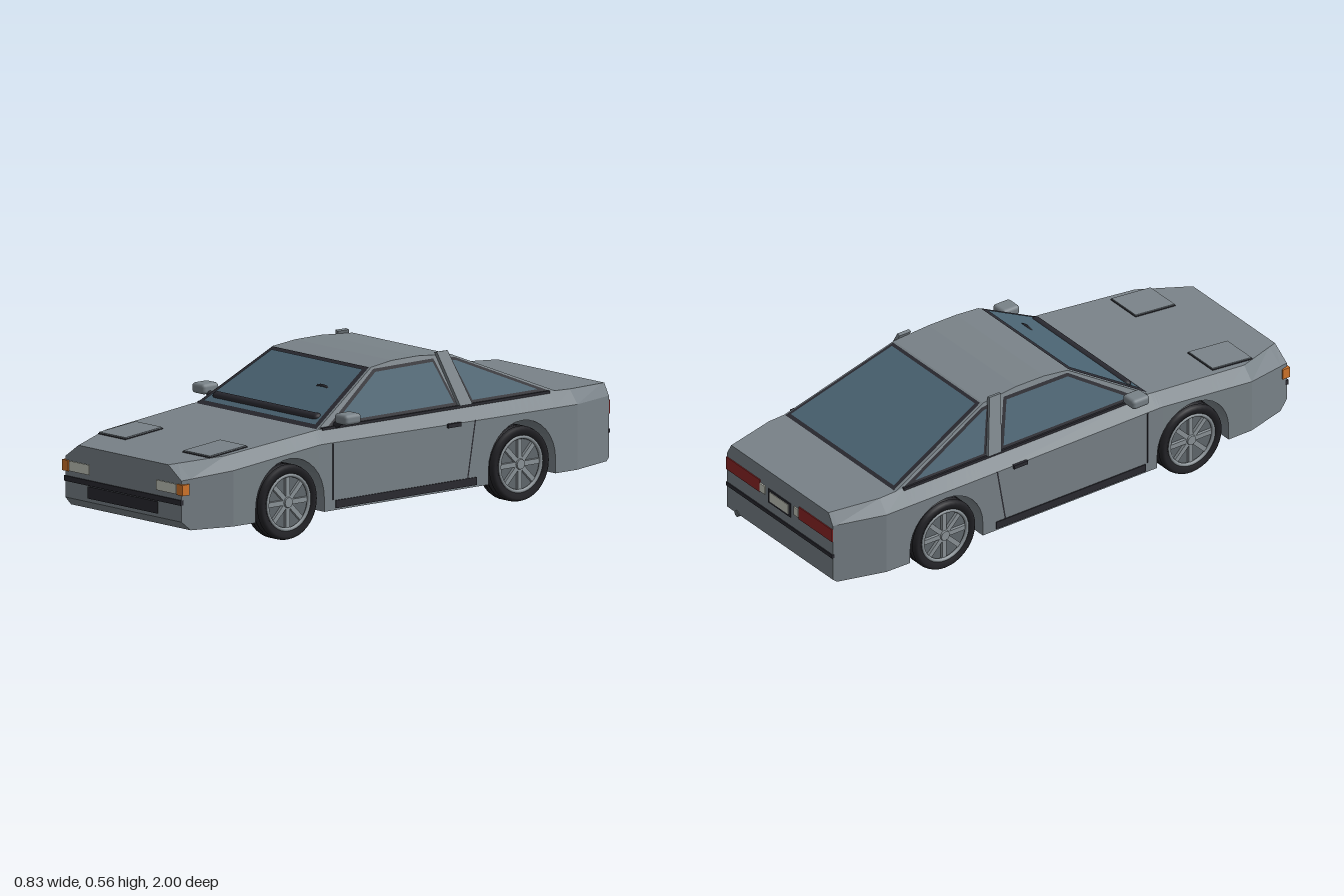
import * as THREE from 'three';
import { RoundedBoxGeometry } from 'three/addons/geometries/RoundedBoxGeometry.js';
import { ConvexGeometry } from 'three/addons/geometries/ConvexGeometry.js';

const V = (x, y, z) => new THREE.Vector3(x, y, z);
const material = (name, color) => {
  const m = new THREE.MeshStandardMaterial({ color });
  m.name = name;
  return m;
};

// Piecewise linear lookup of [z, value] pairs, sorted by z
function at(table, z) {
  let i = 1;
  while (i < table.length - 1 && z > table[i][0]) i++;
  const [z0, v0] = table[i - 1], [z1, v1] = table[i];
  return THREE.MathUtils.mapLinear(z, z0, z1, v0, v1);
}

// Body measures along z: half width, deck half width, shoulder height, deck height
const END = 0.995;
const WIDTH = [[-END, 0.31], [-0.8, 0.365], [-0.4, 0.37], [0.4, 0.37], [0.8, 0.365], [END, 0.31]];
const DECK = [[-END, 0.285], [-0.8, 0.325], [0.4, 0.33], [0.8, 0.32], [END, 0.24]];
const SHOULDER = [[-END, 0.315], [0.4, 0.325], [END, 0.262]];
const TOP = [[-END, 0.358], [-0.7, 0.37], [0.38, 0.37], [END, 0.31]];
const FLOOR = 0.083, AXLE = 0.54, WHEEL_Y = 0.135, ARCH = 0.158;

function facesToGeometry(tris) {
  const g = new THREE.BufferGeometry().setFromPoints(tris);
  g.computeVertexNormals();
  return g;
}

// Body lofted through z stations; the floor rises over the wheel arches
function bodyGeometry() {
  const stations = [[END, 0.115], [0.96, FLOOR], [0.8, FLOOR]];
  for (const c of [AXLE, -AXLE]) {
    stations.push([c + ARCH, FLOOR]);
    for (let i = 0; i <= 16; i++) {
      const a = (i / 16) * Math.PI;
      stations.push([c + ARCH * Math.cos(a), WHEEL_Y + ARCH * Math.sin(a)]);
    }
    stations.push([c - ARCH, FLOOR]);
    if (c > 0) stations.push([0.38, FLOOR]);
  }
  stations.push([-0.8, FLOOR], [-0.98, FLOOR], [-END, 0.095]);
  const rings = stations.map(([z, b]) => {
    const w = at(WIDTH, z), d = at(DECK, z), c = at(SHOULDER, z), t = at(TOP, z);
    return [V(w, b, z), V(w, c, z), V(d, t, z), V(-d, t, z), V(-w, c, z), V(-w, b, z)];
  });
  const tris = [];
  for (let i = 0; i < rings.length - 1; i++) {
    for (let j = 0; j < 6; j++) {
      const k = (j + 1) % 6, r = rings[i], s = rings[i + 1];
      tris.push(r[j], s[j], s[k], r[j], s[k], r[k]);
    }
  }
  const front = rings[0], back = rings[rings.length - 1];
  for (let j = 1; j < 5; j++) {
    tris.push(front[0], front[j], front[j + 1], back[0], back[j + 1], back[j]);
  }
  return facesToGeometry(tris);
}

// Moves every edge of a flat outline inwards by d
function inset(pts, d) {
  return pts.map((p, i) => {
    const u = pts[(i + 1) % pts.length].clone().sub(p).normalize();
    const v = pts[(i + pts.length - 1) % pts.length].clone().sub(p).normalize();
    const s = u.clone().cross(v).length();
    return p.clone().addScaledVector(u.add(v), d / s);
  });
}

// Flat face lifted along its own normal
function panelGeometry(pts, lift) {
  const n = pts[1].clone().sub(pts[0]).cross(pts[2].clone().sub(pts[0])).normalize();
  const q = pts.map(p => p.clone().addScaledVector(n, lift));
  const tris = [];
  for (let i = 1; i < q.length - 1; i++) tris.push(q[0], q[i], q[i + 1]);
  return facesToGeometry(tris);
}

const flip = pts => pts.map(p => V(-p.x, p.y, p.z)).reverse();

export function createModel() {
  const car = new THREE.Group();
  car.name = 'car';
  const paint = material('bodyPaint', 0x798288);
  const glass = material('windowGlass', 0x4b6473);
  const trim = material('blackTrim', 0x2a2a31);
  const rubber = material('tyreRubber', 0x222226);
  const alloy = material('wheelAlloy', 0x8b9398);
  const alloyDark = material('wheelRecess', 0x62696e);
  const red = material('tailLightRed', 0x8e2626);
  const orange = material('indicatorOrange', 0xd2752a);
  const lens = material('lampLens', 0xc6c9be);

  const add = (name, geo, mat, parent = car) => {
    const m = new THREE.Mesh(geo, mat);
    m.name = name;
    parent.add(m);
    return m;
  };
  // Box given by its minimum and maximum corners
  const box = (name, mat, x0, x1, y0, y1, z0, z1) => {
    const m = add(name, new THREE.BoxGeometry(Math.abs(x1 - x0), y1 - y0, z1 - z0), mat);
    m.position.set((x0 + x1) / 2, (y0 + y1) / 2, (z0 + z1) / 2);
    return m;
  };
  const framedWindow = (name, pts, frame) => {
    add(name + 'Frame', panelGeometry(pts, 0.003), trim);
    add(name, panelGeometry(inset(pts, frame), 0.006), glass);
  };

  add('body', bodyGeometry(), paint);

  // Cabin, its sides leaning inwards
  const cabinX = y => 0.327 - (y - 0.365) * 0.36;
  const profile = [[0.38, 0.365], [0.07, 0.545], [-0.03, 0.556], [-0.15, 0.557], [-0.3, 0.545], [-0.74, 0.365]];
  const shell = profile.flatMap(([z, y]) => [V(cabinX(y), y, z), V(-cabinX(y), y, z)]);
  add('cabin', new ConvexGeometry(shell), paint);

  const [baseL, baseR, topL, topR] = shell;
  const [rearTopL, rearTopR, rearL, rearR] = shell.slice(8);
  framedWindow('windscreen', inset([baseR, baseL, topL, topR], 0.006), 0.018);
  framedWindow('rearWindow', inset([rearL, rearR, rearTopR, rearTopL], 0.008), 0.014);

  const onSide = list => list.map(([z, y]) => V(cabinX(y), y, z));
  const doorWindow = onSide([[0.33, 0.372], [-0.275, 0.372], [-0.215, 0.54], [0.065, 0.538]]);
  const quarterWindow = onSide([[-0.338, 0.372], [-0.7, 0.372], [-0.315, 0.532], [-0.28, 0.536]]);
  const pillar = onSide([[-0.278, 0.37], [-0.335, 0.37], [-0.278, 0.56], [-0.228, 0.56]]);
  const pillarSolid = [...pillar, ...pillar.map(p => p.clone().add(V(0.014, 0.003, 0)))];
  const doorRear = [V(0.37, 0.11, -0.28), V(0.37, 0.11, -0.286), V(0.37, 0.322, -0.323), V(0.37, 0.322, -0.317)];

  for (const s of [1, -1]) {
    const side = s > 0 ? 'left' : 'right';
    const own = pts => (s > 0 ? pts : flip(pts));
    framedWindow(side + 'DoorWindow', own(doorWindow), 0.012);
    framedWindow(side + 'QuarterWindow', own(quarterWindow), 0.011);
    add(side + 'Pillar', new ConvexGeometry(own(pillarSolid)), paint);

    // Belt line, door gaps, sill and handle
    box(side + 'BeltTrim', trim, s * 0.322, s * 0.334, 0.364, 0.374, -0.7, 0.36);
    box(side + 'DoorFrontGap', trim, s * 0.368, s * 0.3715, 0.12, 0.322, 0.338, 0.343);
    add(side + 'DoorRearGap', panelGeometry(own(doorRear), 0.0015), trim);
    box(side + 'Sill', trim, s * 0.362, s * 0.374, 0.09, 0.118, -0.325, 0.33);
    box(side + 'DoorHandle', trim, s * 0.362, s * 0.378, 0.31, 0.324, -0.25, -0.19);

    // Door mirror on its stalk
    const stalk = add(side + 'MirrorStalk', new THREE.CylinderGeometry(0.009, 0.014, 0.06, 8), trim);
    stalk.position.set(s * 0.345, 0.387, 0.29);
    stalk.rotation.z = -s * 1.0;
    add(side + 'Mirror', new RoundedBoxGeometry(0.068, 0.038, 0.075, 2, 0.013), paint)
      .position.set(s * 0.381, 0.406, 0.282);

    // Retractable lamp cover lying on the bonnet
    const cover = (grow, lift) => [0.155, 0.296].flatMap((x, i) => [0.68, 0.85].flatMap((z, j) => {
      const px = s * (x + (i ? grow : -grow)), pz = z + (j ? grow : -grow);
      return [V(px, at(TOP, pz) - 0.004, pz), V(px, at(TOP, pz) + lift, pz)];
    }));
    add(side + 'LampCoverGap', new ConvexGeometry(cover(0.003, 0.003)), trim);
    add(side + 'LampCover', new ConvexGeometry(cover(0, 0.007)), paint);

    // Front and rear lamps
    box(side + 'FrontLamp', lens, s * 0.18, s * 0.285, 0.212, 0.248, 0.985, 0.999);
    box(side + 'Indicator', orange, s * 0.29, s * 0.323, 0.21, 0.249, 0.968, 1);
    box(side + 'TailLight', red, s * 0.115, s * 0.31, 0.25, 0.3, -0.999, -0.985);
    box(side + 'ReverseLight', lens, s * 0.085, s * 0.113, 0.255, 0.288, -1, -0.985);
  }

  // Nose and tail trim
  box('frontBumperStrip', trim, -0.312, 0.312, 0.174, 0.193, 0.984, 1);
  box('grille', trim, -0.186, 0.186, 0.128, 0.171, 0.985, 0.999);
  box('rearBumperStrip', trim, -0.312, 0.312, 0.183, 0.197, -0.999, -0.986);
  box('plateFrame', trim, -0.066, 0.066, 0.232, 0.288, -0.998, -0.985);
  box('blankPlate', lens, -0.054, 0.054, 0.241, 0.279, -1, -0.985);
  const exhaust = add('exhaust', new THREE.CylinderGeometry(0.012, 0.012, 0.06, 12), alloyDark);
  exhaust.rotation.x = Math.PI / 2;
  exhaust.position.set(0.25, 0.095, -0.968);

  // Padded dashboard edge and steering wheel rim showing at the windscreen
  const dash = add('dashboard', new THREE.CapsuleGeometry(0.018, 0.53, 4, 10), trim);
  dash.rotation.z = Math.PI / 2;
  dash.position.set(0, 0.397, 0.325);
  add('steeringWheel', new THREE.TorusGeometry(0.067, 0.005, 8, 32), trim).position.set(0.15, 0.413, 0.198);

  // Wheels: grooved tyre, dished rim, spokes and hub, built along y
  const tyreHalf = [[0.1, -0.036], [0.122, -0.044], [0.131, -0.038], [0.135, -0.024], [0.131, -0.021],
    [0.131, -0.018], [0.135, -0.015], [0.135, -0.003], [0.131, -0.001]];
  const tyrePoints = [...tyreHalf, ...tyreHalf.map(([r, y]) => [r, -y]).reverse(), tyreHalf[0]];
  const tyreGeo = new THREE.LatheGeometry(tyrePoints.map(p => new THREE.Vector2(...p)), 36);
  for (const s of [1, -1]) for (const f of [1, -1]) {
    const wheel = new THREE.Group();
    wheel.name = (f > 0 ? 'front' : 'rear') + (s > 0 ? 'Left' : 'Right') + 'Wheel';
    wheel.position.set(s * 0.323, WHEEL_Y, f * AXLE);
    wheel.rotation.z = -s * Math.PI / 2;
    car.add(wheel);
    add('tyre', tyreGeo, rubber, wheel);
    add('rimDish', new THREE.CylinderGeometry(0.1, 0.1, 0.045, 36), alloyDark, wheel);
    const ring = add('rimEdge', new THREE.TorusGeometry(0.097, 0.007, 8, 36), alloy, wheel);
    ring.rotation.x = Math.PI / 2;
    ring.position.y = 0.034;
    for (let i = 0; i < 8; i++) {
      const a = (i / 8) * Math.PI * 2;
      const spoke = add('spoke', new THREE.BoxGeometry(0.08, 0.014, 0.018), alloy, wheel);
      spoke.position.set(Math.cos(a) * 0.055, 0.027, -Math.sin(a) * 0.055);
      spoke.rotation.y = a;
    }
    add('hub', new THREE.CylinderGeometry(0.018, 0.024, 0.02, 16), alloy, wheel).position.y = 0.03;
  }
  return car;
}
